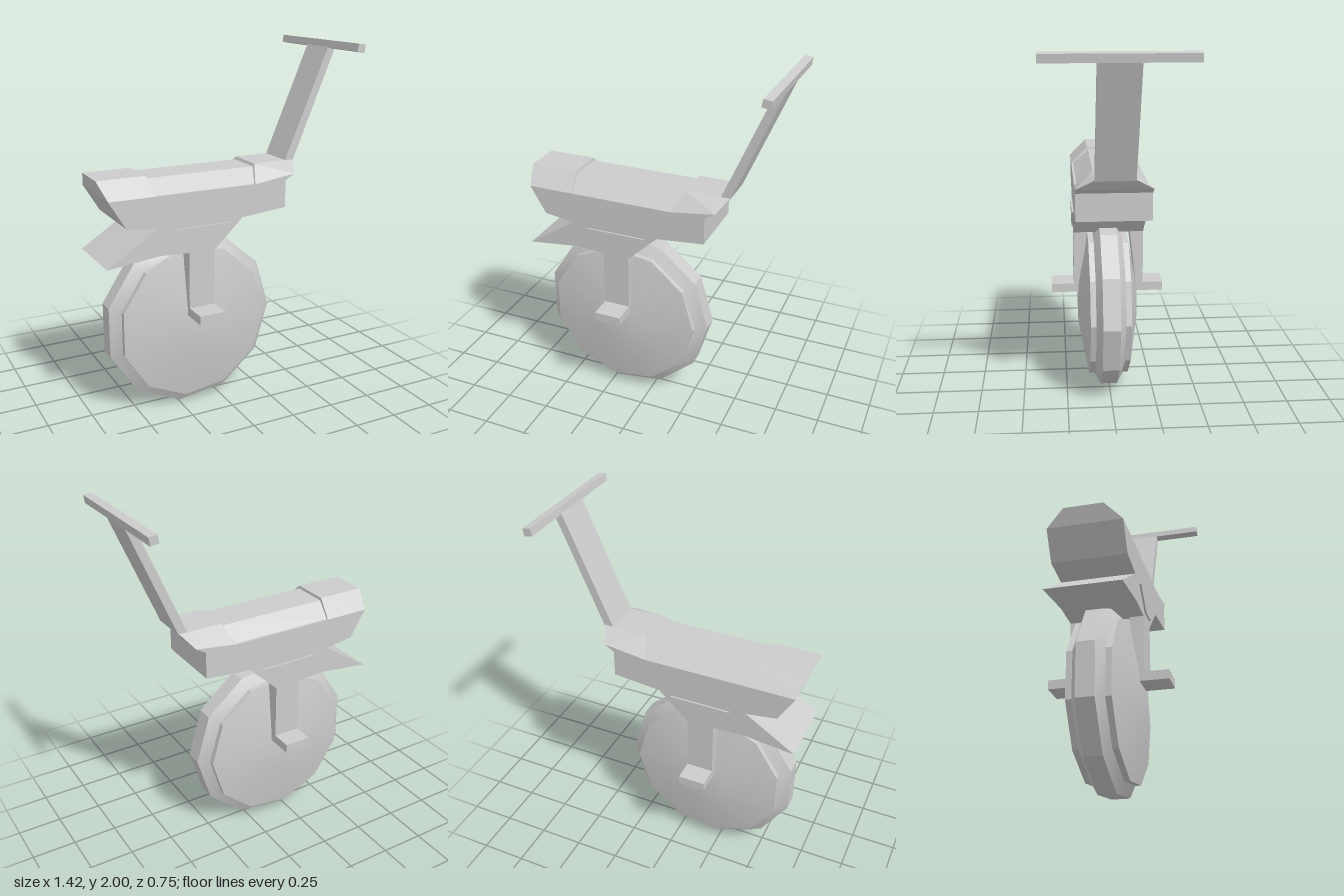
import * as THREE from 'three';
import { toCreasedNormals } from 'three/addons/utils/BufferGeometryUtils.js';
import { ConvexGeometry } from 'three/addons/geometries/ConvexGeometry.js';

const flat = new THREE.MeshStandardMaterial({ color: 0xcccccc, flatShading: true });
const smooth = new THREE.MeshStandardMaterial({ color: 0xcccccc });

export function createModel() {
  const model = new THREE.Group();
  model.name = 'unicycleScooter';

  const add = (name, geometry, material = flat) => {
    const mesh = new THREE.Mesh(geometry, material);
    mesh.name = name;
    model.add(mesh);
    return mesh;
  };

  // Side profile in x, y extruded between two z values
  const slab = (name, points, z0, z1) => {
    const shape = new THREE.Shape(points.map(([x, y]) => new THREE.Vector2(x, y)));
    const geometry = new THREE.ExtrudeGeometry(shape, { depth: z1 - z0, bevelEnabled: false });
    return add(name, geometry.translate(0, 0, z0));
  };

  // Convex block from [x, y, half width] points mirrored across z
  const block = (name, points) => add(name, new ConvexGeometry(
    points.flatMap(([x, y, z]) => [new THREE.Vector3(x, y, z), new THREE.Vector3(x, y, -z)])));

  // Eleven-sided wheel with stepped tyre and shallow conical discs
  const half = [[0, 0.168], [0.14, 0.168], [0.437, 0.113], [0.437, 0.082], [0.5, 0.048]];
  const profile = [
    ...half.map(([r, z]) => new THREE.Vector2(r, -z)),
    ...half.slice().reverse().map(([r, z]) => new THREE.Vector2(r, z)),
  ];
  const wheel = new THREE.LatheGeometry(profile, 11, Math.PI / 2).rotateX(Math.PI / 2);
  add('wheel', toCreasedNormals(wheel, 0.45), smooth).position.set(-0.17, 0.495, 0.007);

  // Chassis under the seat
  slab('chassis', [[-0.68, 1.265], [-0.59, 1.115], [-0.42, 1.09], [0.08, 1.09],
    [0.345, 1.115], [0.345, 1.265]], -0.2, 0.2);

  // Fork crown with the swept rear mudguard
  slab('mudguard', [[-0.42, 1.092], [-0.7, 0.91], [-0.41, 0.943], [-0.24, 0.935],
    [-0.09, 0.93], [0.08, 1.092]], -0.2, 0.2);

  // Seat: raised rear, recessed cushion, raised front
  block('seatRear', [[-0.68, 1.265, 0.2], [-0.422, 1.265, 0.2],
    [-0.71, 1.355, 0.105], [-0.44, 1.355, 0.105]]);
  block('seatCushion', [[-0.45, 1.265, 0.187], [0.22, 1.265, 0.187],
    [-0.45, 1.34, 0.1], [0.22, 1.34, 0.1]]);
  block('seatFront', [[0.155, 1.265, 0.2], [0.345, 1.265, 0.2], [0.4, 1.298, 0.2],
    [0.2, 1.355, 0.105], [0.445, 1.355, 0.105]]);

  // Steering stem and handlebar
  slab('handleStem', [[0.395, 1.35], [0.447, 1.35], [0.7, 1.955], [0.656, 1.965]], -0.104, 0.104);
  slab('handlebar', [[0.655, 1.96], [0.7, 1.951], [0.706, 1.993], [0.662, 2]], -0.375, 0.375);

  // Fork legs, footrests and side plates on both sides
  for (const [side, s] of [['left', 1], ['right', -1]]) {
    const xs = [-0.24, -0.09];
    const corners = [[0.96, 0.12], [0.96, 0.2], [0.57, 0.165], [0.57, 0.2]];
    add(side + 'ForkLeg', new ConvexGeometry(xs.flatMap((x) =>
      corners.map(([y, z]) => new THREE.Vector3(x, y, s * z)))));

    const rest = add(side + 'Footrest', new THREE.BoxGeometry(0.15, 0.05, 0.155));
    rest.position.set(-0.165, 0.595, s * 0.245 + 0.007);

    slab(side + 'SidePlate', [[-0.33, 1.075], [-0.21, 0.967], [-0.1, 0.967], [0.01, 1.075]],
      s > 0 ? 0.19 : -0.21, s > 0 ? 0.21 : -0.19);
  }

  return model;
}
